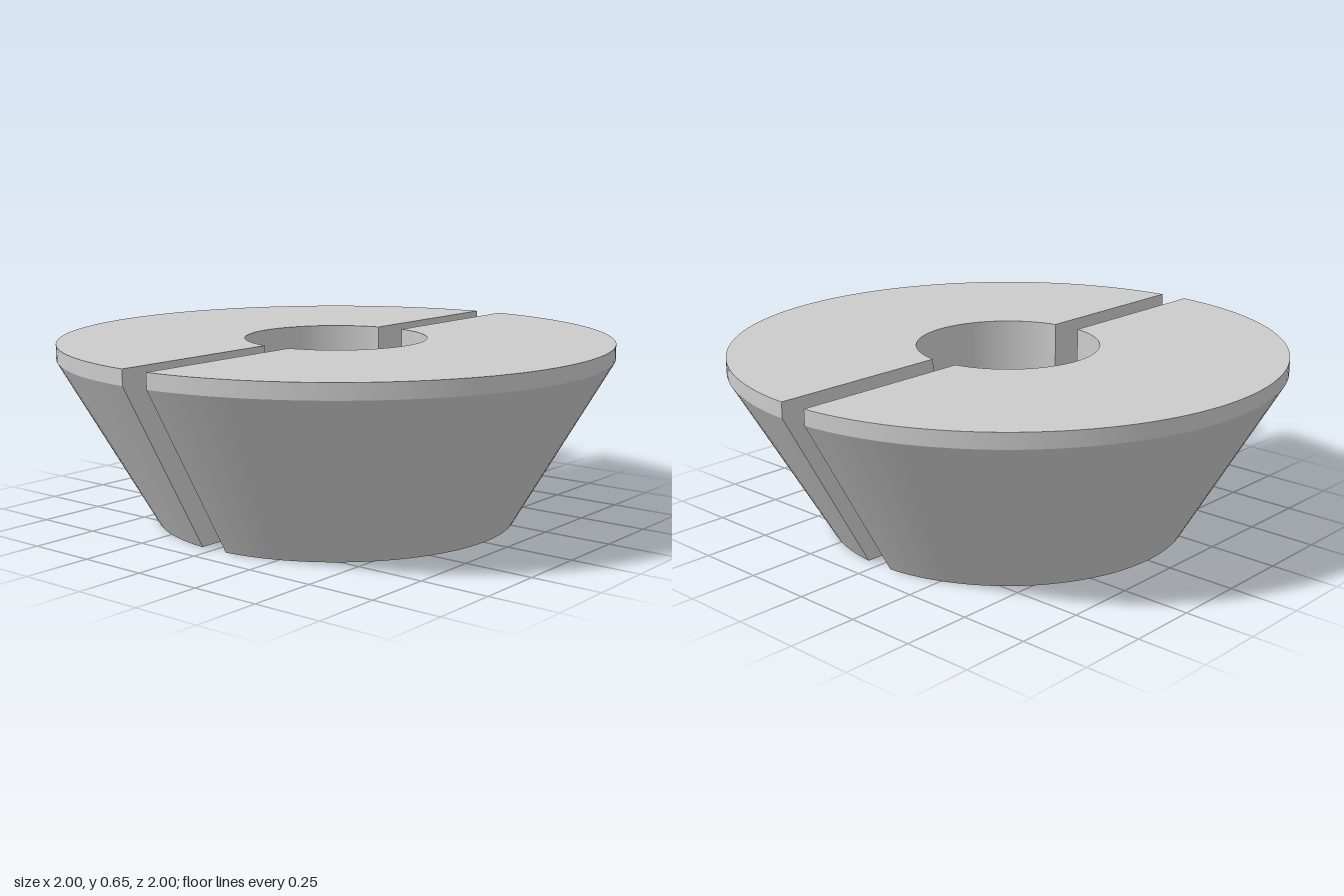
import * as THREE from 'three';
import { mergeGeometries } from 'three/addons/utils/BufferGeometryUtils.js';

const HALF_GAP = 0.054;
const SEGMENTS = 64;

// Cross-section of the collar as (radius, height), counter-clockwise
const PROFILE = [[0.33, 0], [0.655, 0], [1, 0.6], [1, 0.655], [0.33, 0.655]];

// Point on a ring, t from -1 to 1, ending exactly on the plane of the slot
function ringPoint([r, y], t) {
  const phi = t * Math.acos(HALF_GAP / r);
  return [r * Math.cos(phi), y, r * Math.sin(phi)];
}

function makeGeometry(points, index) {
  const geometry = new THREE.BufferGeometry();
  geometry.setAttribute('position', new THREE.Float32BufferAttribute(points.flat(), 3));
  geometry.setIndex(index);
  geometry.computeVertexNormals();
  return geometry;
}

// Smooth surface swept between two rings
function band(a, b) {
  const points = [], index = [];
  for (let i = 0; i <= SEGMENTS; i++) {
    const t = (2 * i) / SEGMENTS - 1;
    points.push(ringPoint(a, t), ringPoint(b, t));
    if (i < SEGMENTS) {
      const k = 2 * i;
      index.push(k, k + 1, k + 2, k + 1, k + 3, k + 2);
    }
  }
  return makeGeometry(points, index);
}

// Flat face along the slot, side is +1 or -1 in z
function cutFace(side) {
  const points = PROFILE.map((p) => ringPoint(p, side));
  if (side < 0) points.reverse();
  return makeGeometry(points, [0, 1, 2, 0, 2, 3, 0, 3, 4]);
}

export function createModel() {
  const group = new THREE.Group();
  group.name = 'splitTaperedCollar';
  const material = new THREE.MeshStandardMaterial({ color: 0xcccccc });

  const bands = PROFILE.map((p, i) => band(p, PROFILE[(i + 1) % PROFILE.length]));
  const halfGeometry = mergeGeometries([...bands, cutFace(1), cutFace(-1)]);

  // Two identical halves facing each other across the slot
  ['leftHalf', 'rightHalf'].forEach((name, i) => {
    const half = new THREE.Mesh(halfGeometry, material);
    half.name = name;
    half.rotation.y = i * Math.PI;
    group.add(half);
  });
  return group;
}
